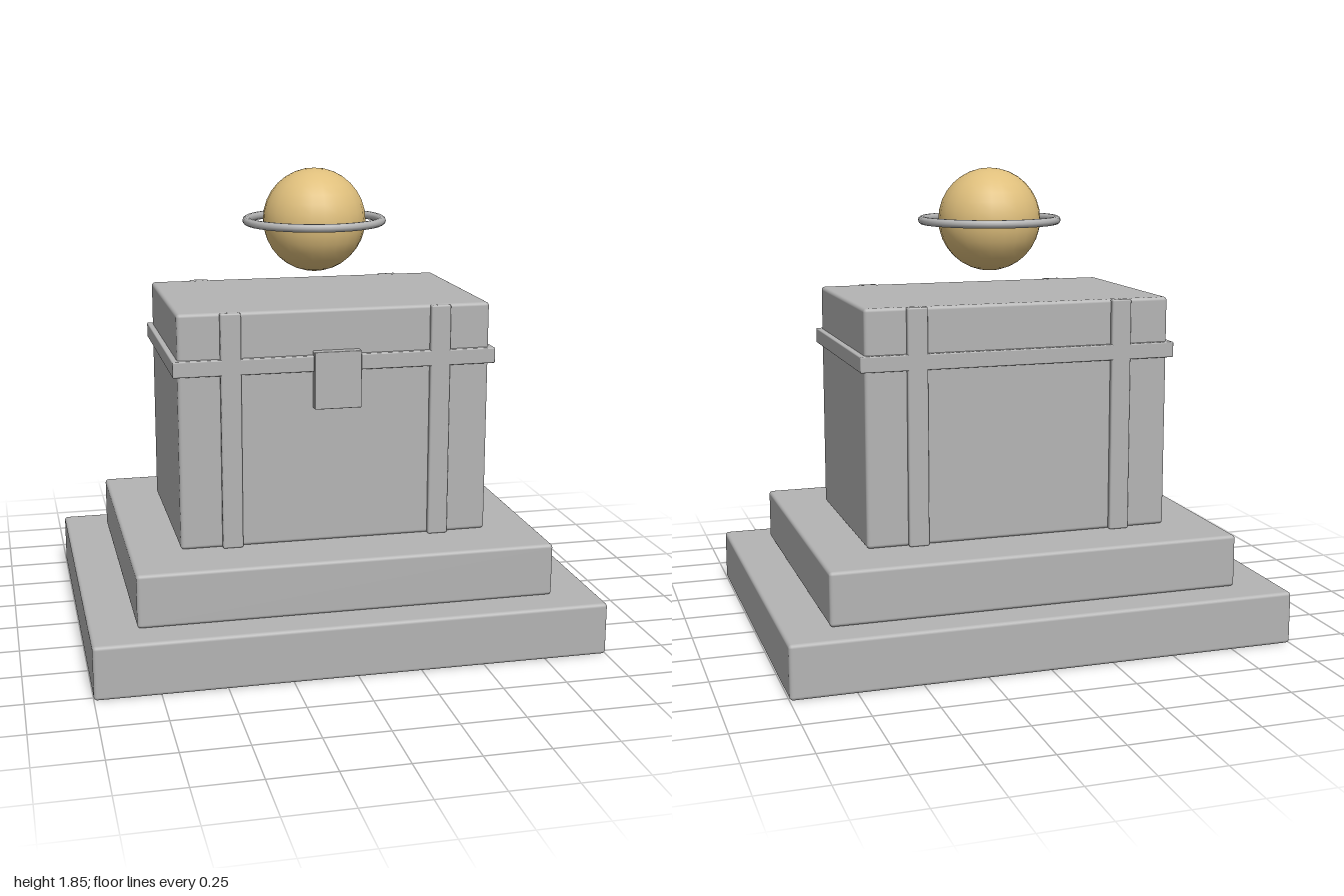
import * as THREE from 'three';
import { RoundedBoxGeometry } from 'three/addons/geometries/RoundedBoxGeometry.js';

const stone = new THREE.MeshStandardMaterial({ color: 0xb4b4b4 });
stone.name = 'stone grey';
const gold = new THREE.MeshStandardMaterial({ color: 0xdfbf7c });
gold.name = 'pale gold';

export function createModel() {
  const model = new THREE.Group();
  model.name = 'chestOnPedestal';

  const add = (name, geometry, material, x, y, z) => {
    const mesh = new THREE.Mesh(geometry, material);
    mesh.name = name;
    mesh.position.set(x, y, z);
    model.add(mesh);
    return mesh;
  };

  // Box with softened edges, given by its size, bottom height and centre
  const block = (name, w, h, d, bottom, x = 0, z = 0, bevel = 0.014) =>
    add(name, new RoundedBoxGeometry(w, h, d, 3, bevel), stone, x, bottom + h / 2, z);

  // Stepped pedestal
  block('lowerStep', 2, 0.21, 1.57, 0);
  block('upperStep', 1.64, 0.21, 1.29, 0.21);

  // Chest body and the band around the lid joint
  block('chest', 1.236, 0.93, 0.786, 0.42);
  block('lidBand', 1.278, 0.062, 0.828, 1.11, 0, 0, 0.005);

  // Upright straps on front and back
  for (const side of [-1, 1]) {
    for (const face of [-1, 1]) {
      block('strap', 0.08, 0.93, 0.03, 0.42, side * 0.415, face * 0.399, 0.007);
    }
  }

  // Latch plate
  block('latch', 0.186, 0.226, 0.045, 0.963, 0, 0.407, 0.003);

  // Floating orb with its ring
  add('orb', new THREE.SphereGeometry(0.207, 24, 16), gold, 0, 1.645, 0);
  const ring = add('orbRing', new THREE.TorusGeometry(0.273, 0.0165, 10, 40), stone, 0, 1.643, 0);
  ring.rotation.x = Math.PI / 2;

  return model;
}
